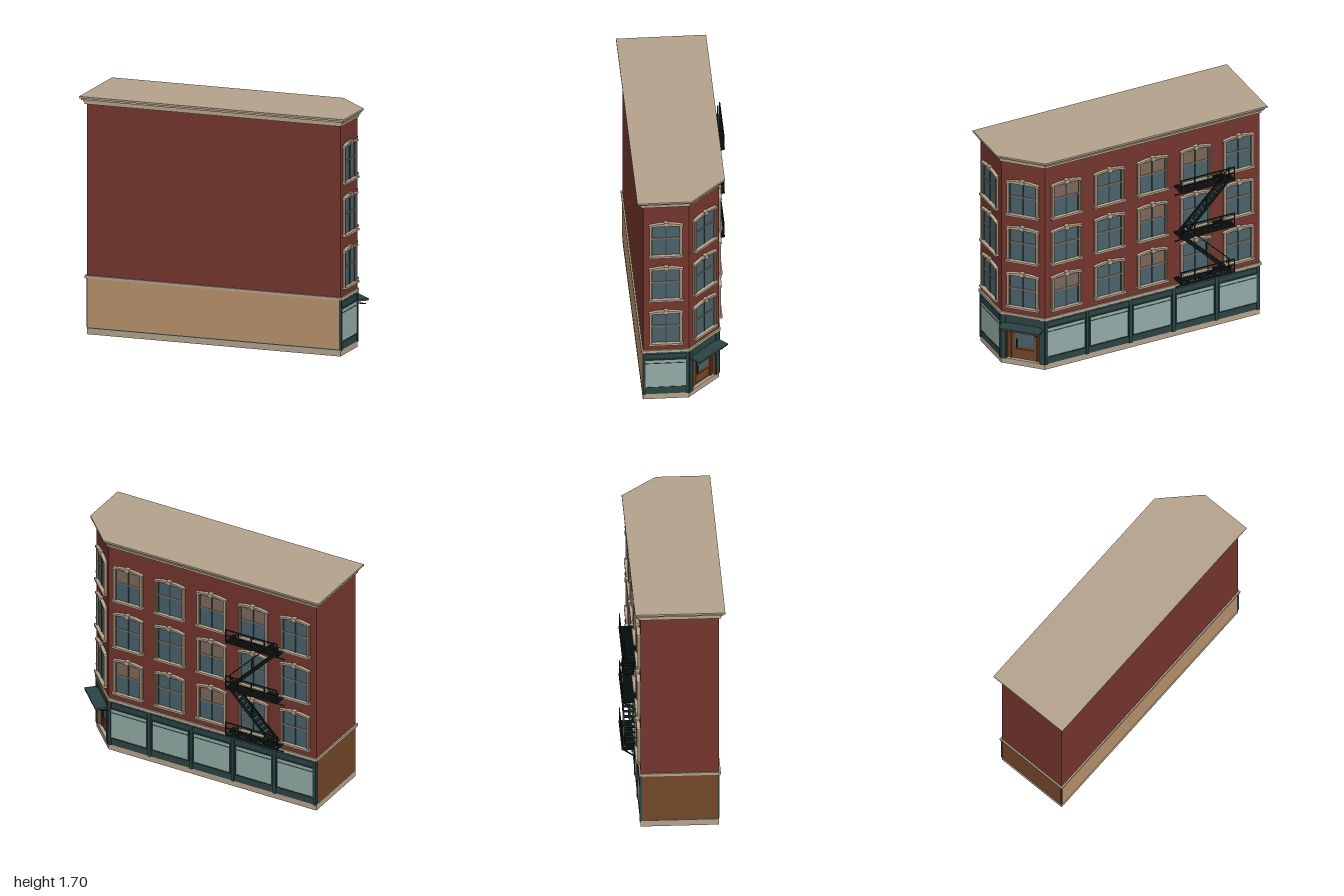
import * as THREE from 'three';

const mat = (name, color) => {
  const m = new THREE.MeshStandardMaterial({ color });
  m.name = name;
  return m;
};
const M = {
  brick: mat('brick', 0x74352d), plaster: mat('tan plaster', 0xb8926b),
  stone: mat('stone', 0xb4a38c), trim: mat('window trim', 0x99826c),
  green: mat('dark green paint', 0x2b4343), iron: mat('black iron', 0x14211f),
  shopGlass: mat('shop glass', 0x94aaa6), glass: mat('window glass', 0x4b616a),
  blind: mat('blind', 0x7d6759), wood: mat('door wood', 0x744629),
};

const LEFT = -0.96, RIGHT = 0.93, FRONT = 0.31, BACK = -0.235;
const COLUMNS = [0.543, 0.209, -0.125, -0.459, -0.793];
const FLOORS = [0.47, 0.843, 1.216];
const CORNER = new THREE.Vector2(0.8175, -0.1225); // middle of the cut corner, x and z
const DOOR = 0.122, RECESS = 0.028;

function add(parent, name, geo, material) {
  const m = new THREE.Mesh(geo, material);
  m.name = name;
  parent.add(m);
  return m;
}
// box given by its centre and size
function box(parent, name, material, x, y, z, w, h, d) {
  const m = add(parent, name, new THREE.BoxGeometry(w, h, d), material);
  m.position.set(x, y, z);
  return m;
}
// square bar between two points
function beam(parent, name, a, b, t = 0.007) {
  const A = new THREE.Vector3(...a), B = new THREE.Vector3(...b);
  const m = add(parent, name, new THREE.BoxGeometry(t, t, A.distanceTo(B)), M.iron);
  m.position.copy(A).add(B).multiplyScalar(0.5);
  m.lookAt(B);
  return m;
}
// slab over the cut-corner footprint, pushed out by d, optionally with the door recess
function slab(parent, name, material, y0, y1, d = 0, notch = false) {
  const k = d * Math.tan(Math.PI / 8), s = Math.SQRT1_2;
  const pts = [[LEFT - d, FRONT + d], [RIGHT + d, FRONT + d], [RIGHT + d, -0.01 - k]];
  if (notch) {
    for (const [t, n] of [[DOOR, 0], [DOOR, RECESS], [-DOOR, RECESS], [-DOOR, 0]]) {
      pts.push([CORNER.x + (t - n) * s, CORNER.y + (t + n) * s]);
    }
  }
  pts.push([0.705 + k, BACK - d], [LEFT - d, BACK - d]);
  const shape = new THREE.Shape(pts.map(([x, z]) => new THREE.Vector2(x, -z)));
  const geo = new THREE.ExtrudeGeometry(shape, { depth: y1 - y0, bevelEnabled: false });
  geo.rotateX(-Math.PI / 2).translate(0, y0, 0);
  return add(parent, name, geo, material);
}
// group lying on a wall: local z points outward, local x runs along the wall
function onWall(parent, name, x, y, z, angle) {
  const g = new THREE.Group();
  g.name = name;
  g.position.set(x, y, z);
  g.rotation.y = angle;
  parent.add(g);
  return g;
}

function sashWindow(g, blind) {
  box(g, 'pane', M.glass, 0, 0.138, 0.002, 0.2, 0.248, 0.004);
  if (blind) box(g, 'blind', M.blind, 0, 0.208, 0.004, 0.19, 0.1, 0.004);
  box(g, 'mullion', M.green, 0, 0.138, 0.005, 0.009, 0.248, 0.008);
  box(g, 'meetingRail', M.trim, 0, 0.157, 0.006, 0.195, 0.008, 0.009);
  for (const s of [-1, 1]) {
    box(g, 'sashSide', M.green, s * 0.094, 0.138, 0.004, 0.006, 0.248, 0.007);
    box(g, 'jamb', M.trim, s * 0.106, 0.138, 0.008, 0.019, 0.25, 0.016);
    box(g, 'jambRib', M.stone, s * 0.11, 0.138, 0.011, 0.005, 0.25, 0.016);
  }
  box(g, 'sill', M.stone, 0, 0.0075, 0.015, 0.245, 0.015, 0.03);
  // shallow pointed hood
  const hood = (pts, d, m, name) => add(g, name, new THREE.ExtrudeGeometry(
    new THREE.Shape(pts.map((p) => new THREE.Vector2(...p))), { depth: d, bevelEnabled: false }), m);
  hood([[-0.115, 0.26], [0.115, 0.26], [0.115, 0.268], [0, 0.286], [-0.115, 0.268]], 0.016, M.trim, 'hoodPanel');
  hood([[-0.12, 0.262], [-0.1, 0.264], [0, 0.28], [0.1, 0.264], [0.12, 0.262],
    [0.12, 0.274], [0.05, 0.287], [-0.05, 0.287], [-0.12, 0.274]], 0.024, M.stone, 'hood');
  box(g, 'keystone', M.stone, 0, 0.282, 0.015, 0.03, 0.03, 0.03);
}

function shopWindow(g, w) {
  box(g, 'shopPane', M.shopGlass, 0, 0.218, 0.003, w, 0.226, 0.005);
  box(g, 'transomBar', M.green, 0, 0.305, 0.005, w, 0.005, 0.006);
  for (const s of [-1, 1]) box(g, 'frameSide', M.green, s * (w / 2 + 0.004), 0.218, 0.004, 0.008, 0.242, 0.008);
  for (const y of [0.101, 0.335]) box(g, 'frameRail', M.green, 0, y, 0.004, w, 0.008, 0.008);
}

function entrance(g) {
  const z = -RECESS;
  box(g, 'doorSurround', M.wood, 0, 0.184, z + 0.002, 0.24, 0.284, 0.004);
  box(g, 'doorGlass', M.glass, 0.005, 0.232, z + 0.006, 0.13, 0.175, 0.004);
  box(g, 'doorPanel', M.wood, 0.005, 0.09, z + 0.007, 0.13, 0.065, 0.006);
  box(g, 'doorHandle', M.iron, -0.05, 0.17, z + 0.013, 0.007, 0.07, 0.008);
  for (const s of [-1, 1]) {
    box(g, 'doorPost', M.wood, s * 0.095, 0.184, z + 0.007, 0.014, 0.284, 0.012);
    box(g, 'reveal', M.wood, s * (DOOR - 0.002), 0.184, z / 2, 0.004, 0.284, RECESS);
    box(g, 'cornerPilaster', M.green, s * 0.142, 0.22, 0.004, 0.034, 0.36, 0.008);
    beam(g, 'awningBracket', [s * 0.125, 0.28, 0.004], [s * 0.125, 0.322, 0.07]);
  }
  box(g, 'awning', M.green, 0, 0.331, 0.046, 0.3, 0.006, 0.092);
  box(g, 'awningSoffit', M.wood, 0, 0.324, 0.046, 0.298, 0.008, 0.09);
}

function fireEscape(parent) {
  const g = new THREE.Group();
  g.name = 'fireEscape';
  parent.add(g);
  const x0 = -0.71, x1 = -0.298, zi = -0.242, zo = -0.348;
  const levels = [0.475, 0.848, 1.221];
  for (const y of levels) {
    // grated landing
    for (const z of [zi, zo]) beam(g, 'landingEdge', [x0, y, z], [x1, y, z], 0.01);
    for (let i = 0; i <= 26; i++) {
      const x = x0 + (x1 - x0) * i / 26;
      beam(g, 'slat', [x, y, zi], [x, y, zo], 0.008);
    }
    // railing and wall braces
    for (const h of [0.055, 0.1]) beam(g, 'rail', [x0, y + h, zo], [x1, y + h, zo]);
    for (let i = 0; i <= 4; i++) {
      const x = x0 + (x1 - x0) * i / 4;
      beam(g, 'railPost', [x, y, zo], [x, y + 0.104, zo]);
    }
    for (const x of [x0 + 0.01, x1 - 0.01]) beam(g, 'brace', [x, y, zo], [x, y - 0.08, -0.235], 0.008);
  }
  // flights alternate direction
  for (let f = 0; f < 2; f++) {
    const y0 = levels[f], y1 = levels[f + 1];
    const [a, b] = f ? [x1 - 0.02, x0 + 0.03] : [x0 + 0.03, x1 - 0.02];
    for (const z of [-0.255, -0.332]) {
      beam(g, 'stringer', [a, y0, z], [b, y1, z], 0.012);
    }
    beam(g, 'handrail', [a, y0 + 0.1, -0.332], [b, y1 + 0.1, -0.332]);
    for (const t of [0.02, 0.5, 0.98]) {
      const x = a + (b - a) * t, y = y0 + (y1 - y0) * t;
      beam(g, 'handrailPost', [x, y, -0.332], [x, y + 0.1, -0.332]);
    }
    for (let i = 1; i < 14; i++) {
      const t = i / 14;
      box(g, 'tread', M.iron, a + (b - a) * t, y0 + (y1 - y0) * t, -0.2935, 0.03, 0.006, 0.077);
    }
  }
}

export function createModel() {
  const root = new THREE.Group();
  root.name = 'cornerBuilding';

  // stacked masses
  slab(root, 'plinth', M.stone, 0, 0.042);
  slab(root, 'shopFloor', M.green, 0.042, 0.327, 0, true);
  slab(root, 'shopFascia', M.green, 0.327, 0.4);
  slab(root, 'beltCourse', M.stone, 0.4, 0.42, 0.011);
  slab(root, 'brickFloors', M.brick, 0.42, 1.64);
  [[1.64, 1.658, 0.012], [1.658, 1.672, 0.02], [1.672, 1.685, 0.03], [1.685, 1.698, 0.041]]
    .forEach(([a, b, d]) => slab(root, 'cornice', M.stone, a, b, d));

  // plain party walls at ground level
  box(root, 'frontPanel', M.plaster, -0.0165, 0.225, FRONT, 1.873, 0.35, 0.006);
  box(root, 'sidePanel', M.wood, LEFT, 0.225, 0.0375, 0.006, 0.35, 0.53);

  // upper windows on the back, right and cut corner
  const blinds = ['0,0', '2,0', '2,1', '0,2', '2,2', '3,2'];
  FLOORS.forEach((y, f) => {
    COLUMNS.forEach((x, c) => sashWindow(
      onWall(root, 'backWindow', x, y, BACK, Math.PI), blinds.includes(`${c},${f}`)));
    sashWindow(onWall(root, 'sideWindow', RIGHT, y, 0.15, Math.PI / 2), false);
    sashWindow(onWall(root, 'cornerWindow', CORNER.x, y, CORNER.y, Math.PI * 0.75), false);
  });

  // shopfronts
  for (const x of COLUMNS) shopWindow(onWall(root, 'backShopWindow', x, 0, BACK, Math.PI), 0.283);
  shopWindow(onWall(root, 'sideShopWindow', RIGHT, 0, 0.152, Math.PI / 2), 0.285);
  for (let i = 0; i <= 5; i++) {
    const x = Math.min(0.694, Math.max(-0.949, 0.71 - 0.334 * i));
    box(root, 'backPilaster', M.green, x, 0.221, BACK - 0.003, 0.022, 0.358, 0.012);
  }
  for (const z of [0.302, -0.002]) box(root, 'sidePilaster', M.green, RIGHT + 0.003, 0.221, z, 0.012, 0.358, 0.016);
  box(root, 'backFasciaMoulding', M.green, -0.1275, 0.392, BACK - 0.004, 1.665, 0.014, 0.012);
  box(root, 'sideFasciaMoulding', M.green, RIGHT + 0.004, 0.392, 0.15, 0.012, 0.014, 0.32);

  entrance(onWall(root, 'entrance', CORNER.x, 0, CORNER.y, Math.PI * 0.75));
  fireEscape(root);
  return root;
}
